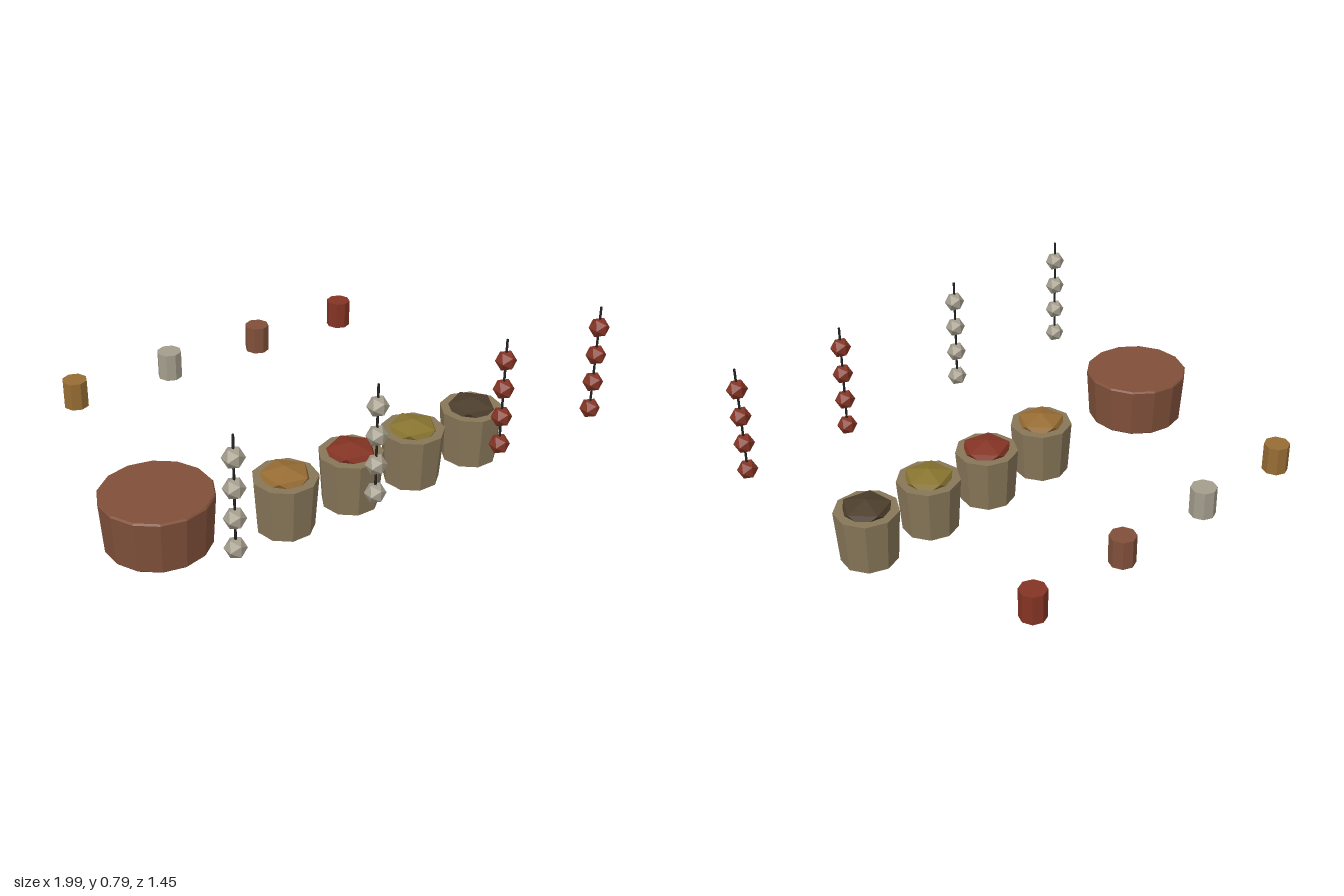
import * as THREE from 'three';

const mat = (name, color) => {
  const m = new THREE.MeshStandardMaterial({ color });
  m.name = name;
  m.flatShading = true;
  return m;
};

export function createModel() {
  const root = new THREE.Group();
  root.name = 'marketGoods';

  const brown = mat('brown', 0x80503a);
  const black = mat('black', 0x222222);
  const tan = mat('tan', 0x877658);
  const ochre = mat('ochre', 0x976c34);
  const red = mat('red', 0x843424);
  const yellow = mat('yellow', 0x887430);
  const dark = mat('darkBrown', 0x4c3e2c);
  const grey = mat('paleGrey', 0xa39d8c);

  const add = (parent, name, geo, material, x, y, z) => {
    const mesh = new THREE.Mesh(geo, material);
    mesh.name = name;
    mesh.position.set(x, y, z);
    parent.add(mesh);
    return mesh;
  };
  const group = (name, x, z) => {
    const g = new THREE.Group();
    g.name = name;
    g.position.set(x, 0, z);
    root.add(g);
    return g;
  };

  // Round tub with softened rims, on a short post
  const tub = group('tub', -0.78, 0.2);
  const profile = [[0, 0.097], [0.202, 0.097], [0.208, 0.103], [0.2225, 0.312], [0.217, 0.319], [0, 0.319]]
    .map(([x, y]) => new THREE.Vector2(x, y));
  add(tub, 'tubBody', new THREE.LatheGeometry(profile, 14), brown, 0, 0, 0);
  add(tub, 'tubPost', new THREE.CylinderGeometry(0.026, 0.026, 0.1, 8), black, 0, 0.05, 0);

  // Buckets heaped with faceted spice mounds
  const bucketGeo = new THREE.CylinderGeometry(0.134, 0.118, 0.23, 9);
  bucketGeo.rotateY(Math.PI);
  const moundGeo = new THREE.IcosahedronGeometry(0.112, 0);
  moundGeo.rotateZ(0.5536); // one corner points up
  moundGeo.rotateY(Math.PI + 0.12);
  moundGeo.scale(1, 0.41, 1);
  [ochre, red, yellow, dark].forEach((spice, i) => {
    const g = group('spiceBucket', -0.251 + i * 0.317, 0.269);
    add(g, 'bucket', bucketGeo, tan, 0, 0.115, 0);
    add(g, 'spiceMound', moundGeo, spice, 0, 0.23, 0);
  });

  // Row of small jars at the back
  const jarGeo = new THREE.CylinderGeometry(0.053, 0.053, 0.12, 8);
  [ochre, grey, brown, red].forEach((m, i) => {
    add(root, 'jar', jarGeo, m, -0.668 + i * 0.4545, 0.304, -0.676);
  });

  // Hanging strings of beads at the front
  const cordGeo = new THREE.CylinderGeometry(0.005, 0.005, 0.46, 5);
  const beadGeo = new THREE.IcosahedronGeometry(0.042, 0);
  [[-0.743, grey], [-0.139, grey], [0.467, red], [0.958, red]].forEach(([x, m]) => {
    const g = group('beadString', x, 0.688);
    add(g, 'cord', cordGeo, black, 0, 0.558, 0);
    for (let i = 0; i < 4; i++) add(g, 'bead', beadGeo, m, 0, 0.336 + i * 0.121, 0);
  });

  return root;
}
